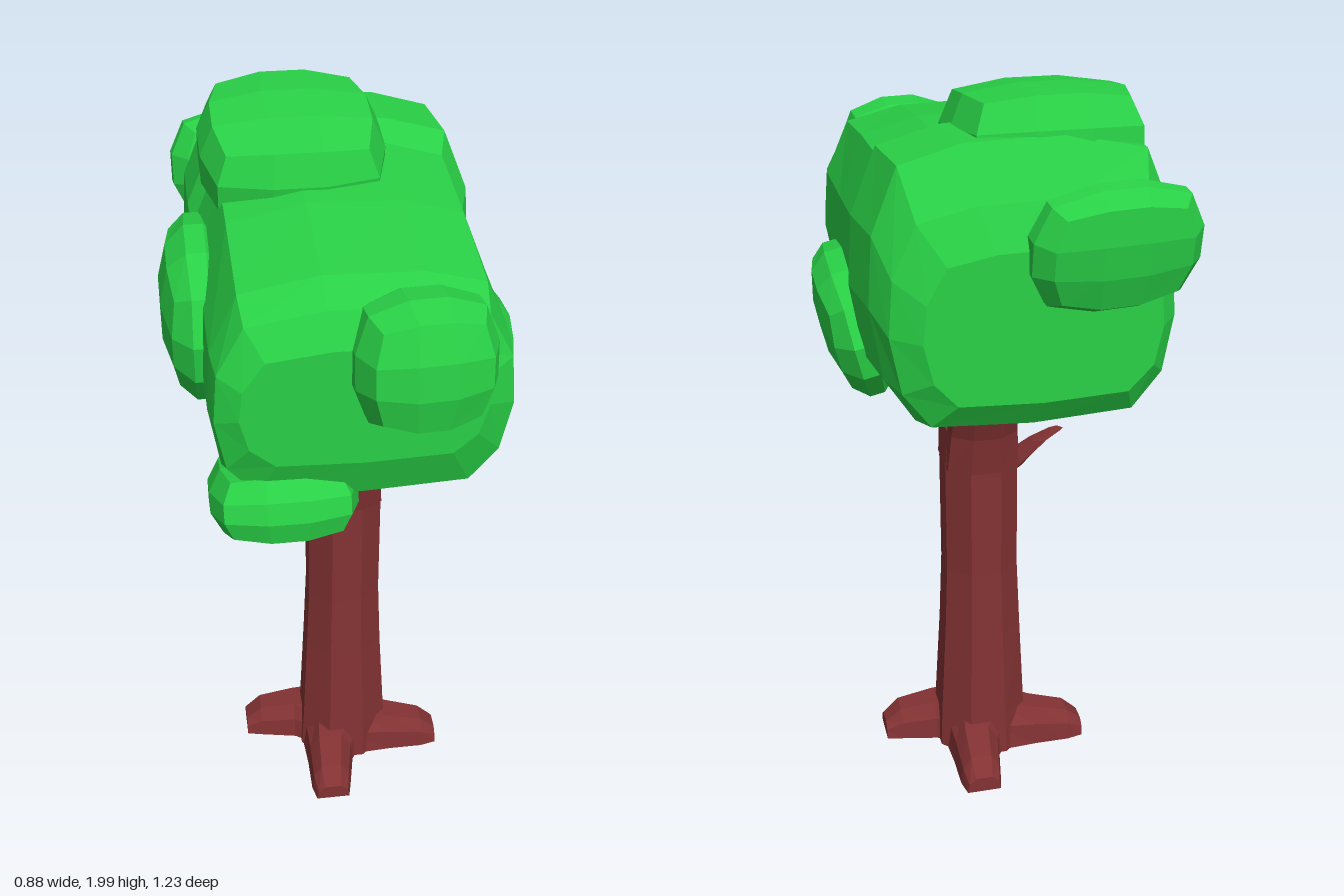
import * as THREE from 'three';

const V = (x, y, z) => new THREE.Vector3(x, y, z);

// Closed, flat-faced skin through equal-length rings, capped at both ends.
function loft(rings) {
  const pos = [];
  const tri = (...p) => p.forEach(v => pos.push(v.x, v.y, v.z));
  const mid = r => r.reduce((s, p) => s.add(p), V(0, 0, 0)).divideScalar(r.length);
  const n = rings[0].length, first = rings[0], last = rings[rings.length - 1];
  for (let j = 0; j < n; j++) {
    const k = (j + 1) % n;
    for (let i = 0; i + 1 < rings.length; i++) {
      const a = rings[i], b = rings[i + 1];
      tri(a[j], b[j], a[k]);
      tri(a[k], b[j], b[k]);
    }
    tri(mid(first), first[j], first[k]);
    tri(mid(last), last[k], last[j]);
  }
  const g = new THREE.BufferGeometry();
  g.setAttribute('position', new THREE.Float32BufferAttribute(pos, 3));
  g.computeVertexNormals();
  return g;
}

// Horizontal ring, for lofts listed from top to bottom.
function ring(x, y, z, rx, rz, n = 8) {
  return Array.from({ length: n }, (_, i) => {
    const a = (i + 0.5) / n * Math.PI * 2, s = 1 / Math.cos(Math.PI / n);
    return V(x + Math.cos(a) * rx * s, y, z - Math.sin(a) * rz * s);
  });
}

// Upright section, for lofts listed from front to back.
const section = (profile, [z, cx, hw, y0, y1]) => profile.map(([u, v]) =>
  V(cx + u * hw, (y0 + y1) / 2 + v * (y1 - y0) / 2, z));

// Box with softened edges and corners, cut into broad facets.
function puff(hx, hy, hz, k) {
  const g = new THREE.BoxGeometry(2, 2, 2, 3, 3, 3).toNonIndexed();
  const p = g.attributes.position;
  const f = (a, b) => Math.sqrt(1 - k * (a * a + b * b) / 2 + k * k * a * a * b * b / 3);
  for (let i = 0; i < p.count; i++) {
    const x = p.getX(i), y = p.getY(i), z = p.getZ(i);
    p.setXYZ(i, x * f(y, z) * hx, y * f(x, z) * hy, z * f(x, y) * hz);
  }
  g.computeVertexNormals();
  return g;
}

export function createModel() {
  const bark = new THREE.MeshStandardMaterial({ name: 'bark', color: 0x833233 });
  const leaf = new THREE.MeshStandardMaterial({ name: 'leaf', color: 0x29d046 });
  const tree = new THREE.Group();
  tree.name = 'tree';
  const add = (name, geometry, material, parent = tree) => {
    const m = new THREE.Mesh(geometry, material);
    m.name = name;
    parent.add(m);
    return m;
  };

  // Trunk
  add('trunk', loft([
    ring(0.02, 1.02, -0.02, 0.09, 0.09),
    ring(0.02, 0.92, -0.022, 0.1, 0.1),
    ring(0.018, 0.6, -0.02, 0.1, 0.1),
    ring(0.017, 0.4, -0.02, 0.108, 0.106),
    ring(0.017, 0.12, -0.018, 0.122, 0.122),
    ring(0.015, 0, -0.018, 0.128, 0.128),
  ]), bark);

  // Forked limbs running up into the crown
  add('frontLimb', loft([
    ring(0.03, 1.3, 0.195, 0.06, 0.032),
    ring(0.03, 1.18, 0.138, 0.072, 0.036),
    ring(0.02, 1.03, 0.044, 0.09, 0.054),
    ring(0.02, 0.92, 0.02, 0.098, 0.058),
  ]), bark);
  add('backLimb', loft([
    ring(0.03, 1.32, -0.2, 0.065, 0.04),
    ring(0.03, 1.2, -0.155, 0.075, 0.044),
    ring(0.02, 1.03, -0.076, 0.09, 0.064),
    ring(0.02, 0.92, -0.062, 0.098, 0.06),
  ]), bark);

  // Twig
  add('twig', loft([
    ring(-0.188, 1.004, -0.06, 0.016, 0.014, 5),
    ring(-0.145, 0.975, -0.05, 0.024, 0.02, 5),
    ring(-0.1, 0.93, -0.035, 0.032, 0.026, 5),
    ring(-0.05, 0.88, -0.02, 0.042, 0.03, 5),
  ]), bark);

  // Four roots in a pinwheel
  const rootProfile = [[-1, -1], [1, -1], [0.9, 0.2], [0.5, 1], [-0.5, 1], [-0.9, 0.2]];
  const roots = new THREE.Group();
  roots.name = 'roots';
  roots.position.set(0.01, 0, -0.017);
  for (let i = 0; i < 4; i++) {
    add('root', loft([
      [0.285, -0.055, 0.048, 0, 0.045],
      [0.24, -0.055, 0.058, 0, 0.085],
      [0.14, -0.045, 0.068, 0, 0.108],
      [0.02, -0.01, 0.11, 0, 0.13],
    ].map(s => section(rootProfile, s))), bark, roots).rotation.y = i * Math.PI / 2;
  }
  tree.add(roots);

  // Main crown
  const crown = new THREE.Group();
  crown.name = 'crown';
  tree.add(crown);
  const crownProfile = [
    [-0.72, -0.95], [0, -1], [0.72, -0.95], [0.92, -0.62], [1, -0.1], [0.97, 0.4],
    [0.8, 0.86], [0.4, 0.98], [-0.25, 1], [-0.78, 0.88], [-0.97, 0.4], [-1, -0.1], [-0.93, -0.62],
  ];
  add('mainFoliage', loft([
    [0.5, 0.0, 0.285, 1.38, 1.68],
    [0.46, 0.005, 0.345, 1.27, 1.76],
    [0.38, 0.005, 0.355, 1.21, 1.805],
    [0.1, 0.005, 0.357, 1.17, 1.845],
    [-0.19, 0.005, 0.36, 1.19, 1.865],
    [-0.24, 0.01, 0.372, 1.22, 1.91],
    [-0.42, 0, 0.362, 1.23, 1.91],
    [-0.5, -0.005, 0.335, 1.25, 1.79],
    [-0.545, -0.02, 0.28, 1.32, 1.69],
  ].map(s => section(crownProfile, s))), leaf, crown);

  // Smaller tufts pressed into the main crown: name, centre, half size, tilt, softness
  for (const [name, c, h, r, k] of [
    ['topTuft', [-0.09, 1.85, -0.195], [0.235, 0.135, 0.24], [0.14, 0, 0], 0.6],
    ['frontTuft', [0.13, 1.635, 0.48], [0.17, 0.165, 0.135], [-0.1, 0.08, 0], 0.75],
    ['lowerFrontTuft', [-0.18, 1.22, 0.365], [0.185, 0.1, 0.175], [-0.3, 0, 0], 0.65],
    ['rightTuft', [-0.345, 1.53, -0.02], [0.1, 0.205, 0.26], [0.12, 0, 0], 0.9],
    ['leftTuft', [0.345, 1.36, -0.01], [0.09, 0.17, 0.265], [-0.1, 0, -0.24], 0.85],
    ['backTuft', [-0.18, 1.68, -0.53], [0.21, 0.155, 0.08], [-0.15, 0.08, 0], 0.75],
  ]) {
    const m = add(name, puff(...h, k), leaf, crown);
    m.position.set(...c);
    m.rotation.set(...r);
  }
  return tree;
}
